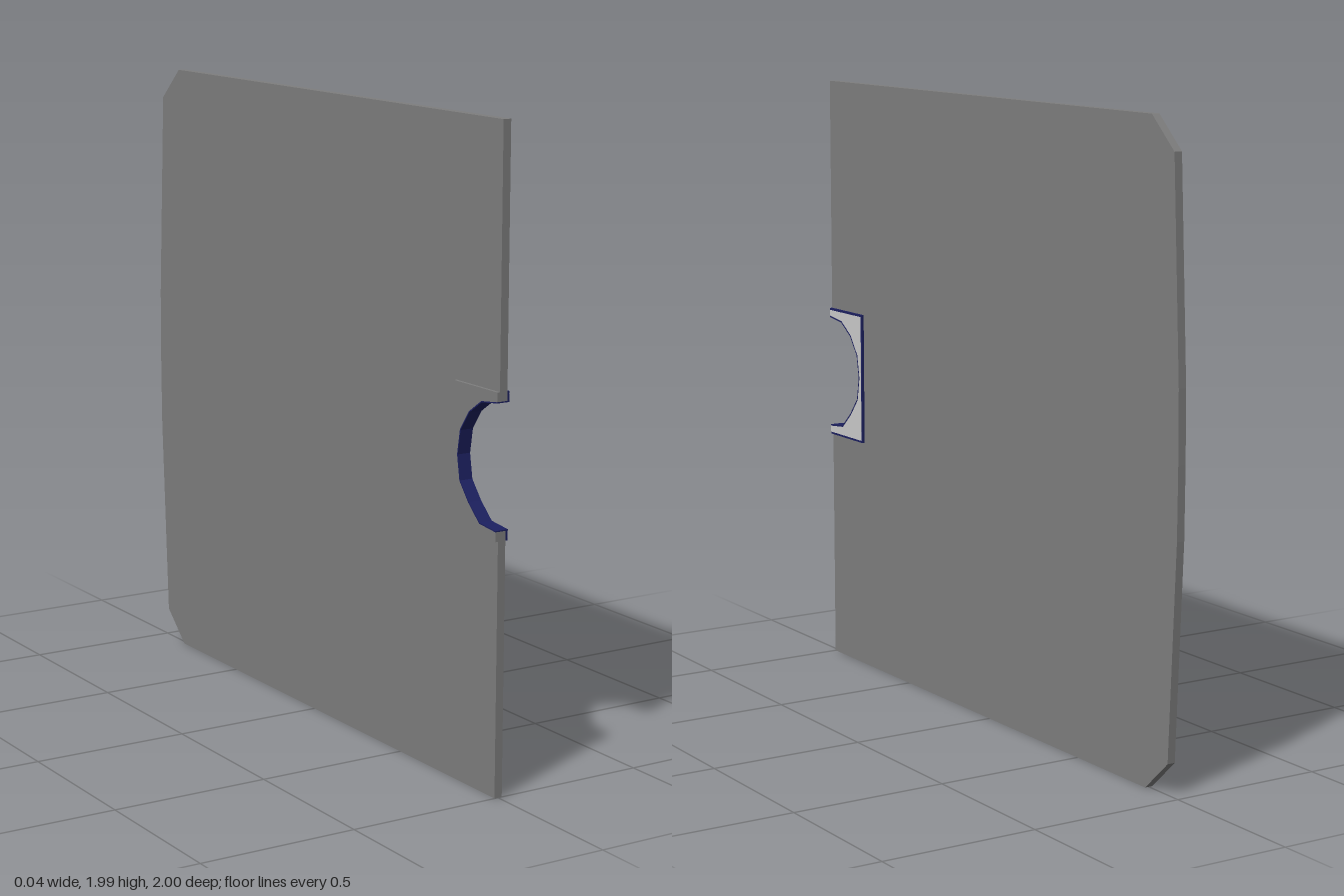
import * as THREE from 'three';

const MID = 0.993;      // height of the board's mirror line
const FRONT = -1;       // profile x is -z, so the front edge lies at -1

// Half-round finger notch, top to bottom, as [profile x, y]
const NOTCH = [
  [-1, 1.18], [-0.923, 1.17], [-0.863, 1.13], [-0.82, 1.07], [-0.807, 0.995],
  [-0.82, 0.92], [-0.865, 0.865], [-0.92, 0.815], [-1, 0.807],
];

// Notch outline grown about its centre
const notch = (grow) => NOTCH.map(([s, y]) => [
  FRONT + (s - FRONT) * grow, MID + (y - MID) * grow,
]);

// Extrude a side profile from x0 to x1
function slab(name, points, x0, x1, color) {
  const shape = new THREE.Shape(points.map(([s, y]) => new THREE.Vector2(s, y)));
  const geometry = new THREE.ExtrudeGeometry(shape, { depth: x1 - x0, bevelEnabled: false });
  geometry.translate(0, 0, x0);
  geometry.rotateY(Math.PI / 2);
  const mesh = new THREE.Mesh(geometry, new THREE.MeshStandardMaterial({ color, flatShading: true }));
  mesh.name = name;
  return mesh;
}

// Rectangle on the front edge with the notch cut out of it
function notchedPlate(back, halfHeight, grow) {
  return [
    [FRONT, MID - halfHeight], [back, MID - halfHeight],
    [back, MID + halfHeight], [FRONT, MID + halfHeight],
    ...notch(grow),
  ];
}

export function createModel() {
  const group = new THREE.Group();
  group.name = 'notchedBoard';

  const grey = 0x7e7e7e, navy = 0x1c2060, pale = 0xcccccc;

  // Board: clipped rear corners and a slightly bowed rear edge
  const lowerRear = [[0.855, 0], [0.965, 0.1], [0.998, 0.77]];
  const upperRear = lowerRear.map(([s, y]) => [s, 2 * MID - y]).reverse();
  const board = [
    [FRONT, 0], ...lowerRear, [1, MID], ...upperRear, [FRONT, 2 * MID], ...notch(1.02),
  ];
  group.add(slab('board', board, -0.013, 0.013, grey));

  // Reinforcing plate on the right-hand face of the notch
  group.add(slab('backPlate', notchedPlate(-0.785, 0.219, 1.02), -0.022, -0.013, grey));

  // Navy surround with a pale inset panel on the other face
  group.add(slab('plateSurround', notchedPlate(-0.785, 0.219, 1.02), 0.013, 0.021, navy));
  group.add(slab('platePanel', notchedPlate(-0.792, 0.212, 1.03), 0.021, 0.022, pale));

  // Navy lining through the whole thickness of the notch
  const lining = [...notch(1), ...notch(1.02).reverse()];
  group.add(slab('notchLining', lining, -0.022, 0.0215, navy));

  return group;
}
